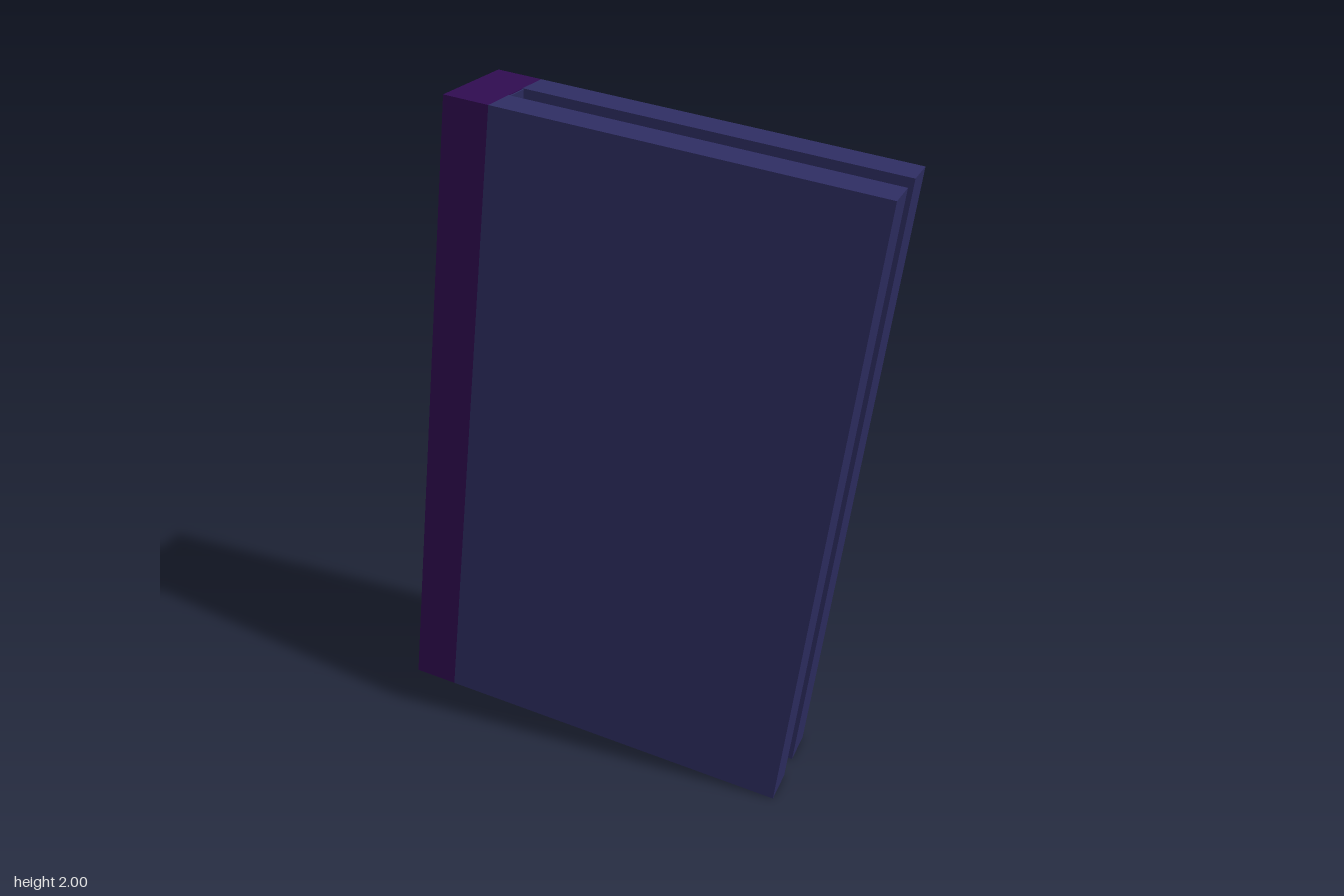
import * as THREE from 'three';

const material = (name, color) => {
  const m = new THREE.MeshStandardMaterial({ color });
  m.name = name;
  return m;
};

const W = 1.2, H = 1.871, HALF = 0.155; // closed book: width, height, half thickness
const SPINE = 0.13, GAP = 0.041;        // spine width, half thickness of the page block
const PAGE_H = 1.686, FORE = 0.443;     // page height, x of the fore edge
const INNER = -W / 2 + SPINE;           // where the spine meets the covers

export function createModel() {
  const navy = material('navy cover', 0x2e2d62);
  const purple = material('purple spine', 0x2f0c50);
  const tan = material('tan page edges', 0xb8935c);
  const cream = material('cream fore edge', 0xb8ac96);

  const book = new THREE.Group();
  book.name = 'book';

  const add = (name, geometry, mat, x = 0, y = 0, z = 0) => {
    const mesh = new THREE.Mesh(geometry, mat);
    mesh.name = name;
    mesh.position.set(x, y, z);
    book.add(mesh);
  };

  // Upright slab whose outer (+x) side is hollowed by a shallow curve
  const hollowSlab = (back, front, half, sag, height) => {
    const s = new THREE.Shape();
    s.moveTo(back, -half);
    s.lineTo(front, -half);
    s.quadraticCurveTo(front - 2 * sag, 0, front, half);
    s.lineTo(back, half);
    s.closePath();
    const g = new THREE.ExtrudeGeometry(s, { depth: height, bevelEnabled: false, curveSegments: 6 });
    return g.rotateX(-Math.PI / 2).translate(0, -height / 2, 0);
  };

  // Spine block and its inner lining
  add('spine', new THREE.BoxGeometry(SPINE, H, HALF * 2), purple, INNER - SPINE / 2);
  add('spineLining', new THREE.BoxGeometry(0.004, H - 0.004, GAP * 2), navy, INNER + 0.002);

  // Front and back covers
  const thick = HALF - GAP;
  for (const side of [1, -1]) {
    add(side > 0 ? 'frontCover' : 'backCover', new THREE.BoxGeometry(W - SPINE, H, thick),
      navy, SPINE / 2, 0, side * (GAP + thick / 2));
  }

  // Page block, with the paler hollow of the fore edge
  add('pages', hollowSlab(INNER, FORE, GAP, 0.009, PAGE_H), tan);
  add('foreEdge', hollowSlab(0.431, FORE - 0.002, 0.033, 0.0058, PAGE_H - 0.002), cream);

  // Lean the book to its left, balanced on one corner
  book.rotation.z = -THREE.MathUtils.degToRad(6.8);
  book.position.y = 1;

  const model = new THREE.Group();
  model.add(book);
  return model;
}
